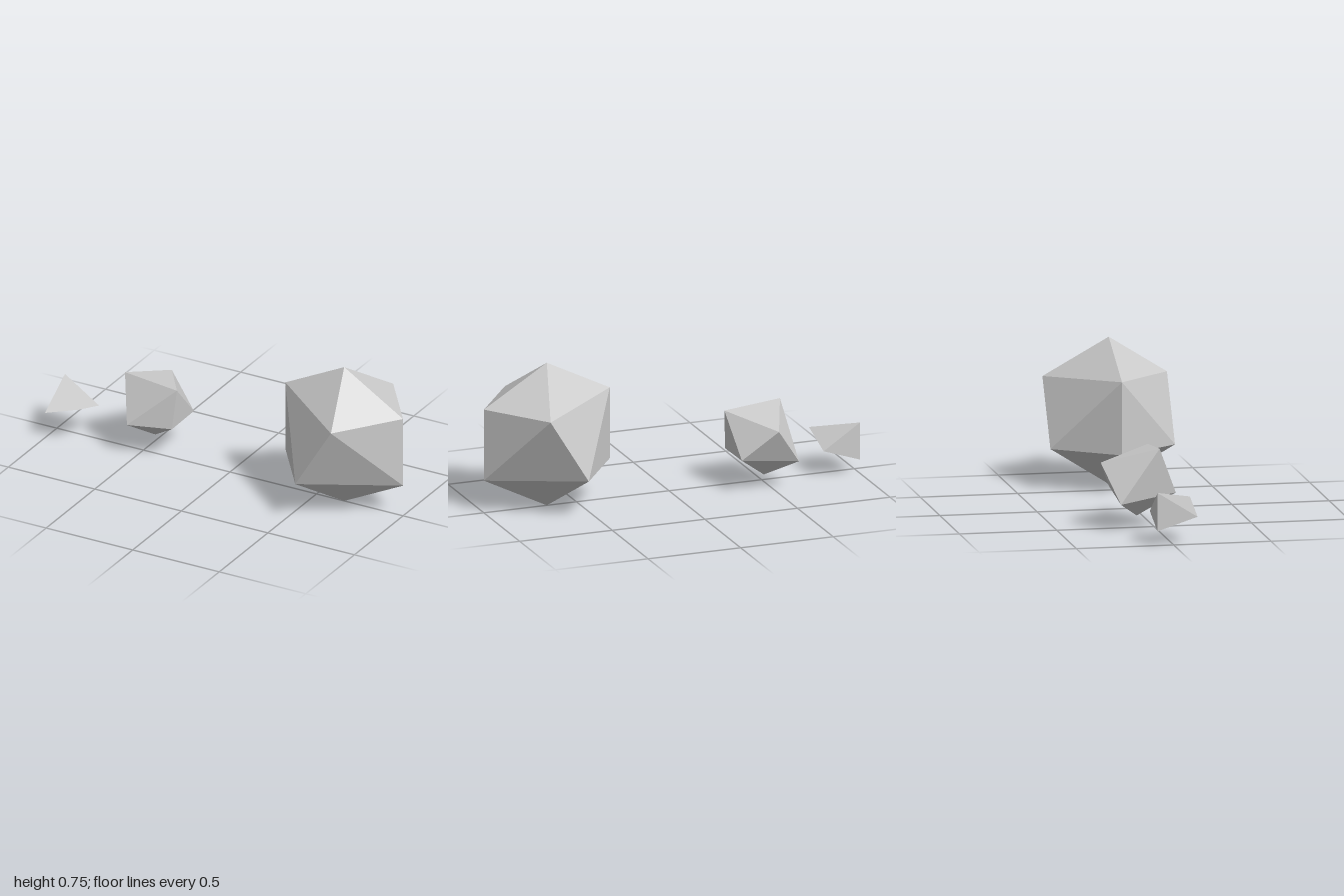
import * as THREE from 'three';
import { ConvexGeometry } from 'three/addons/geometries/ConvexGeometry.js';

const grey = new THREE.MeshStandardMaterial({ color: 0xcccccc, flatShading: true });
const greyFacet = new THREE.MeshStandardMaterial({ color: 0xcccccc });
const toVectors = (points) => points.map((p) => new THREE.Vector3(...p));

// Faceted rock: the convex hull of a few corners
function rock(name, corners) {
  const mesh = new THREE.Mesh(new ConvexGeometry(toVectors(corners)), grey);
  mesh.name = name;
  return mesh;
}

// Faceted shard: each face is a fan of triangles sharing one normal
function shard(name, corners, faces) {
  const v = toVectors(corners);
  const positions = [], normals = [];
  for (const face of faces) {
    const p = face.map((i) => v[i]);
    const last = p[p.length - 1];
    // Triangles and quads both take their normal from crossing spans
    const a = p[2].clone().sub(p[0]);
    const b = last.clone().sub(p[1]);
    const n = a.cross(b).normalize();
    for (let i = 1; i < p.length - 1; i++) {
      for (const q of [p[0], p[i], p[i + 1]]) {
        positions.push(q.x, q.y, q.z);
        normals.push(n.x, n.y, n.z);
      }
    }
  }
  const geometry = new THREE.BufferGeometry();
  geometry.setAttribute('position', new THREE.Float32BufferAttribute(positions, 3));
  geometry.setAttribute('normal', new THREE.Float32BufferAttribute(normals, 3));
  const mesh = new THREE.Mesh(geometry, greyFacet);
  mesh.name = name;
  return mesh;
}

export function createModel() {
  const group = new THREE.Group();
  group.name = 'rocks';

  // Large rock, the same front and back
  const large = [
    [0.66, 0.755, 0], [0.66, 0, 0],
    [1, 0.546, 0], [1, 0.17, 0],
    [0.32, 0.585, 0], [0.32, 0.21, 0],
  ];
  for (const z of [-0.32, 0.32]) large.push([0.763, 0.546, z], [0.557, 0.21, z]);
  group.add(rock('largeRock', large));

  // Medium rock
  group.add(rock('mediumRock', [
    [-0.602, 0.418, 0.008], [-0.302, 0.387, 0.008], [-0.489, 0.336, -0.272],
    [-0.537, 0.178, 0.104], [-0.316, 0.178, 0.035], [-0.318, 0.18, -0.195],
    [-0.626, 0.142, -0.195], [-0.479, 0.056, -0.085],
  ]));

  // Small shard: tilted square base, bent lid, two upright triangular sides
  group.add(shard('smallShard', [
    [-0.803, 0.207, 0.123], [-1, 0.14, 0.123], [-1, 0.073, -0.083],
    [-0.803, 0.14, -0.083], [-1, 0.27, -0.083],
  ], [
    [4, 1, 0, 3], // lid
    [0, 1, 2, 3], // base
    [2, 1, 4],    // outer side
    [2, 4, 3],    // back side
  ]));

  return group;
}
